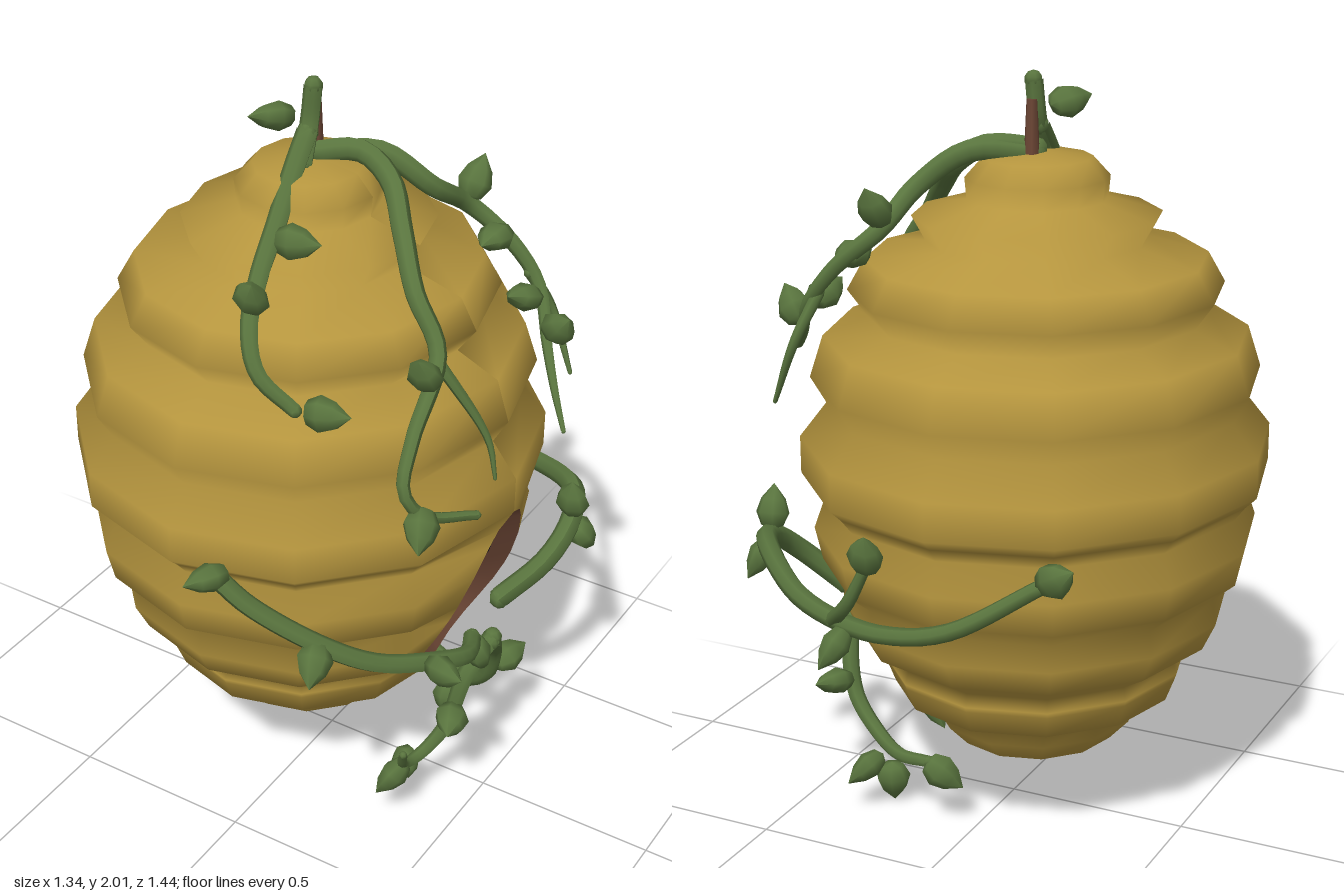
import * as THREE from 'three';

const V = (a) => new THREE.Vector3(...a);
const CX = -0.06, CZ = 0.015, DEPTH = 1.04, SIDES = 12;

// Hive profile from top to bottom: [radius, y]
const PROFILE = [
  [0, 1.8], [0.14, 1.78], [0.185, 1.73], [0.18, 1.675],
  [0.32, 1.635], [0.285, 1.57], [0.44, 1.525], [0.485, 1.445], [0.435, 1.375],
  [0.55, 1.325], [0.585, 1.215], [0.545, 1.145], [0.615, 1.055], [0.615, 0.955],
  [0.585, 0.925], [0.555, 0.885], [0.585, 0.8], [0.565, 0.71], [0.505, 0.66],
  [0.515, 0.59], [0.48, 0.515], [0.4, 0.465], [0.41, 0.43], [0.405, 0.415],
  [0.38, 0.35], [0.29, 0.318], [0.275, 0.265], [0.22, 0.205], [0.12, 0.163], [0, 0.15],
];
const TOP = 0.955, BOTTOM = 0.415;

// Half width of the arched entrance at a height
function entranceWidth(y) {
  const t = y > 0.58 ? (y - 0.58) / (TOP - 0.58) : (0.58 - y) / (0.58 - BOTTOM);
  return 0.16 * Math.sqrt(Math.max(0, 1 - t ** (y > 0.58 ? 1.6 : 3)));
}

// The entrance edge is an even bow, where the shell around it is ridged
function edgeX(r, y) {
  if (y > TOP || y < BOTTOM) return CX + r;
  const t = (y - BOTTOM) / (TOP - BOTTOM);
  return 0.345 + 0.21 * t + 0.2 * t * (1 - t) - entranceWidth(y) * 0.2;
}

// Joins rows of points into one smooth surface
function skin(rows) {
  const n = rows[0].length, idx = [];
  for (let i = 0; i < rows.length - 1; i++) {
    for (let j = 0; j < n - 1; j++) {
      const a = i * n + j, b = a + n;
      idx.push(a, b, a + 1, a + 1, b, b + 1);
    }
  }
  const g = new THREE.BufferGeometry();
  g.setAttribute('position', new THREE.Float32BufferAttribute(rows.flat(2), 3));
  g.setIndex(idx);
  g.computeVertexNormals();
  return g;
}

// Twelve-sided ridged shell whose seam at +x opens into the entrance
function shellGeometry() {
  const g = skin(PROFILE.map(([r, y]) => {
    const w = entranceWidth(y), row = [];
    for (let j = 0; j <= SIDES; j++) {
      const a = (j / SIDES) * Math.PI * 2;
      if (j % SIDES === 0) row.push([edgeX(r, y), y, CZ + (j ? w : -w)]);
      else row.push([CX + r * Math.cos(a), y, CZ - DEPTH * r * Math.sin(a)]);
    }
    return row;
  }));
  // Match the normals along the closed seam and at the poles
  const normals = g.attributes.normal, n = new THREE.Vector3();
  PROFILE.forEach(([r, y], i) => {
    for (let j = 0; j <= SIDES; j++) {
      const k = i * (SIDES + 1) + j;
      n.fromBufferAttribute(normals, k);
      if (r === 0) n.set(0, i ? -1 : 1, 0);
      else if (j % SIDES === 0 && entranceWidth(y) < 0.001) n.setZ(0).normalize();
      normals.setXYZ(k, n.x, n.y, n.z);
    }
  });
  return g;
}

// Outer and inner edge of the entrance on one side (s = 1 or -1)
const holeRows = PROFILE.filter(([, y]) => y >= BOTTOM && y <= TOP);
const outerEdge = (s) => holeRows.map(([r, y]) => [edgeX(r, y), y, CZ + s * entranceWidth(y)]);
const innerEdge = (s) => holeRows.map(([r, y]) =>
  [edgeX(r, y) - 0.05, 0.71 + (y - 0.71) * (y > 0.71 ? 0.9 : 0.72), CZ + s * entranceWidth(y) * 0.77]);

// Round stem along a smooth curve, thinning toward its end
function vineGeometry(curve, steps, r0, r1) {
  const sides = 7;
  const g = new THREE.TubeGeometry(curve, steps, r0, sides);
  const p = g.attributes.position, v = new THREE.Vector3();
  for (let i = 0; i <= steps; i++) {
    const c = curve.getPointAt(i / steps);
    const k = THREE.MathUtils.lerp(1, r1 / r0, (i / steps) ** 1.5);
    for (let j = 0; j <= sides; j++) {
      const q = i * (sides + 1) + j;
      v.fromBufferAttribute(p, q).sub(c).multiplyScalar(k).add(c);
      p.setXYZ(q, v.x, v.y, v.z);
    }
  }
  g.computeVertexNormals();
  return g;
}

// Plump pointed leaf standing along +y
function leafGeometry() {
  const profile = [[0, -0.058], [0.032, -0.047], [0.048, -0.012], [0.035, 0.026], [0, 0.067]];
  return new THREE.LatheGeometry(profile.map((p) => new THREE.Vector2(...p)), 7).scale(1, 1, 0.78);
}

export function createModel() {
  const material = (name, color) => Object.assign(new THREE.MeshStandardMaterial({ color }), { name });
  const honey = material('honey shell', 0xb5953e);
  const brown = material('brown bark', 0x6c4635);
  const dark = material('dark hollow', 0x08071f);
  const green = material('vine green', 0x59743e);
  brown.side = dark.side = THREE.DoubleSide;

  const model = new THREE.Group();
  model.name = 'hangingHive';
  const add = (name, geometry, mat, parent = model) => {
    const mesh = new THREE.Mesh(geometry, mat);
    mesh.name = name;
    parent.add(mesh);
    return mesh;
  };

  add('hiveShell', shellGeometry(), honey);

  // Entrance: brown sloping rim on both sides, dark hollow behind
  add('entranceRimFront', skin([outerEdge(1), innerEdge(1)]), brown);
  add('entranceRimBack', skin([innerEdge(-1), outerEdge(-1)]), brown);
  add('entranceHollow', skin([innerEdge(1), innerEdge(-1)]), dark);

  // Short wooden peg behind the hanging stem
  add('woodenPeg', new THREE.CylinderGeometry(0.014, 0.022, 0.18, 7), brown).position.set(-0.06, 1.84, -0.02);

  // A vine with rounded ends; each leaf points away from the nearest spot on its vine
  const leafGeo = leafGeometry();
  const vine = (name, r0, r1, path, leaves = []) => {
    const group = new THREE.Group();
    group.name = name;
    model.add(group);
    const curve = new THREE.CatmullRomCurve3(path.map(V));
    add('stem', vineGeometry(curve, path.length * 4, r0, r1), green, group);
    add('stemStart', new THREE.SphereGeometry(r0, 7, 5), green, group).position.copy(curve.getPoint(0));
    add('stemTip', new THREE.SphereGeometry(r1, 7, 5), green, group).position.copy(curve.getPoint(1));
    const spots = curve.getPoints(60);
    for (const centre of leaves.map(V)) {
      const near = spots.reduce((a, b) => (a.distanceTo(centre) < b.distanceTo(centre) ? a : b));
      const leaf = add('leaf', leafGeo, green, group);
      leaf.position.copy(centre);
      leaf.quaternion.setFromUnitVectors(new THREE.Vector3(0, 1, 0), centre.clone().sub(near).normalize());
    }
  };

  // Vines hanging from the top
  vine('hangingStem', 0.024, 0.026,
    [[-0.055, 1.976, 0], [-0.06, 1.88, 0.01], [-0.05, 1.79, 0.06]],
    [[-0.115, 1.915, 0.09]]);
  vine('upperFrontVine', 0.028, 0.018,
    [[-0.06, 1.86, 0.02], [-0.05, 1.79, 0.1], [-0.02, 1.71, 0.22], [0.01, 1.62, 0.35], [0.05, 1.54, 0.45],
      [0.1, 1.46, 0.49], [0.19, 1.38, 0.47]],
    [[0.065, 1.645, 0.46], [0.055, 1.69, 0.25], [0.27, 1.39, 0.46]]);
  vine('upperSideVine', 0.03, 0.012,
    [[-0.06, 1.8, 0.01], [0.05, 1.81, -0.05], [0.14, 1.76, -0.04], [0.23, 1.68, 0.05], [0.32, 1.58, 0.14],
      [0.41, 1.46, 0.18], [0.43, 1.3, 0.33], [0.45, 1.2, 0.4], [0.49, 1.13, 0.37], [0.57, 1.09, 0.25]],
    [[0.43, 1.46, 0.28], [0.5, 1.11, 0.4]]);
  vine('upperSideTwig', 0.016, 0.005, [[0.41, 1.44, 0.18], [0.53, 1.23, 0.13], [0.56, 1.13, 0.14]]);
  vine('upperBackVine', 0.03, 0.006,
    [[-0.06, 1.79, 0], [0.08, 1.8, -0.09], [0.2, 1.71, -0.15], [0.24, 1.62, -0.27], [0.35, 1.52, -0.31],
      [0.43, 1.42, -0.31], [0.5, 1.31, -0.23], [0.57, 1.25, -0.14], [0.66, 1.215, -0.02]],
    [[0.24, 1.68, -0.3], [0.32, 1.55, -0.26], [0.54, 1.38, -0.21], [0.43, 1.43, -0.22]]);
  vine('upperBackTwig', 0.016, 0.006, [[0.4, 1.45, -0.31], [0.44, 1.33, -0.37], [0.51, 1.16, -0.36]]);

  // Vines wrapping round the sides from the entrance
  vine('lowerFrontVine', 0.026, 0.024,
    [[0.07, 0.96, 0.65], [0.15, 0.88, 0.62], [0.31, 0.76, 0.53], [0.41, 0.69, 0.44], [0.5, 0.64, 0.3],
      [0.53, 0.6, 0.19], [0.49, 0.57, 0.09]],
    [[0.06, 0.96, 0.67], [0.31, 0.74, 0.58], [0.55, 0.66, 0.35], [0.5, 0.51, 0.07]]);
  vine('lowerBackVine', 0.03, 0.02,
    [[0.47, 0.57, -0.1], [0.56, 0.68, -0.18], [0.58, 0.75, -0.27], [0.54, 0.78, -0.38], [0.35, 0.72, -0.54],
      [0.2, 0.69, -0.59], [0.05, 0.69, -0.62], [-0.12, 0.73, -0.62], [-0.35, 0.87, -0.55]],
    [[0.58, 0.83, -0.28], [0.6, 0.7, -0.32], [0.19, 0.64, -0.64], [-0.38, 0.89, -0.56]]);
  vine('lowerBackTwig', 0.02, 0.014,
    [[0.22, 0.69, -0.59], [0.14, 0.77, -0.65], [0.08, 0.88, -0.66]],
    [[0.07, 0.92, -0.68]]);

  // Vines trailing under the hive
  vine('bottomFrontVine', 0.026, 0.011,
    [[0.5, 0.51, -0.01], [0.47, 0.43, 0.07], [0.43, 0.25, 0.11], [0.39, 0.18, 0.17], [0.38, 0.19, 0.24],
      [0.41, 0.28, 0.3]],
    [[0.47, 0.32, 0.15], [0.33, 0.11, 0.155], [0.36, 0.16, 0.27]]);
  vine('bottomBackVine', 0.026, 0.016,
    [[0.5, 0.5, 0], [0.46, 0.39, -0.1], [0.42, 0.26, -0.14], [0.33, 0.18, -0.18], [0.22, 0.165, -0.25],
      [0.12, 0.18, -0.28]],
    [[0.46, 0.31, -0.19], [0.27, 0.06, -0.205], [0.31, 0.12, -0.28], [0.08, 0.15, -0.27]]);
  return model;
}
